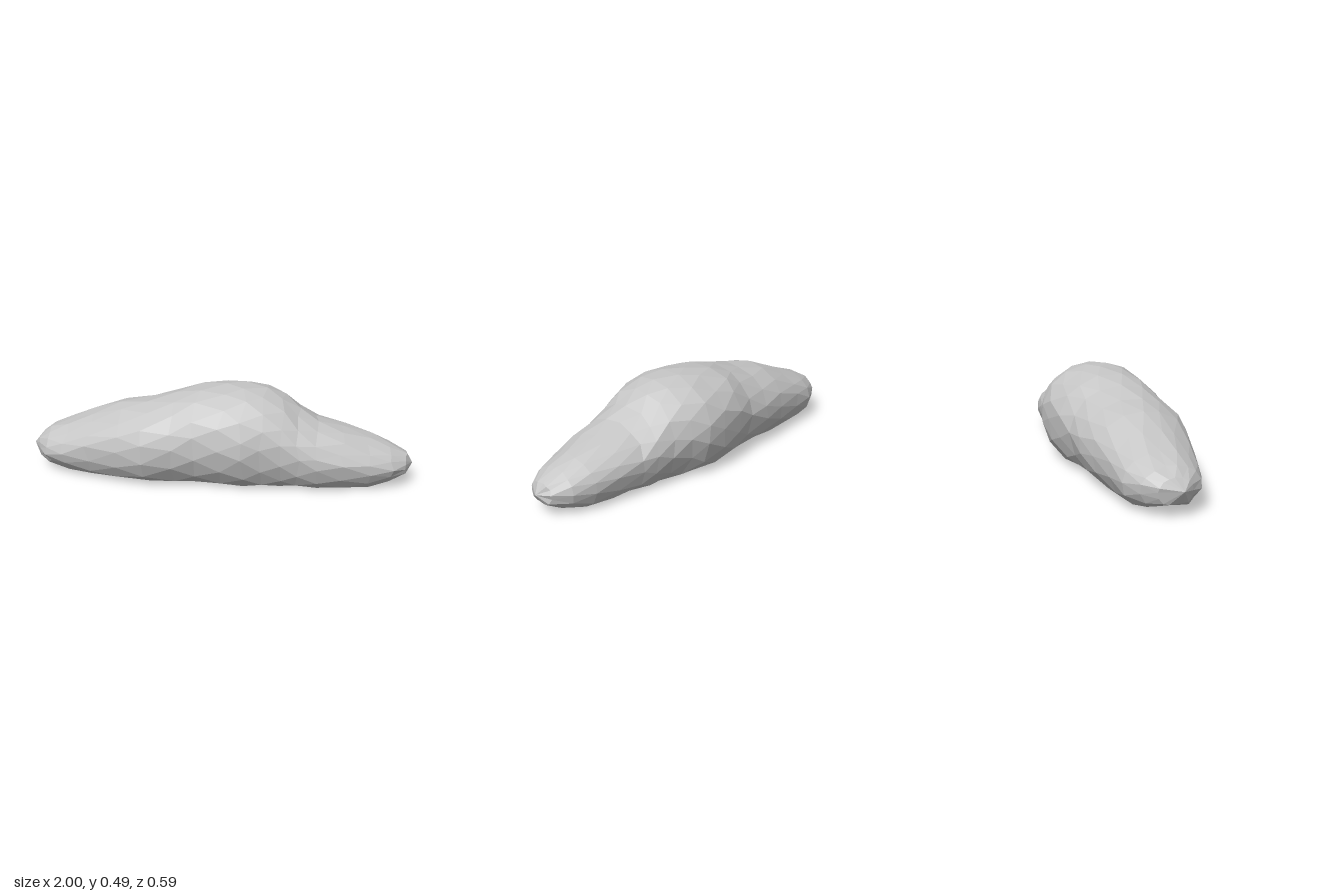
import * as THREE from 'three';

const SIDES = 16;

// Cross-sections along the boulder: x, underside y, top y, back z, front z
const SECTIONS = [
  [-0.96, 0.065, 0.185, -0.08, 0.09],
  [-0.90, 0.04, 0.225, -0.14, 0.15],
  [-0.80, 0.01, 0.265, -0.19, 0.19],
  [-0.67, 0.003, 0.318, -0.21, 0.225],
  [-0.51, 0.002, 0.378, -0.232, 0.27],
  [-0.36, 0, 0.405, -0.25, 0.298],
  [-0.22, 0, 0.445, -0.257, 0.284],
  [-0.10, 0, 0.48, -0.285, 0.28],
  [0.03, 0, 0.493, -0.30, 0.293],
  [0.14, 0, 0.496, -0.302, 0.298],
  [0.24, 0, 0.482, -0.272, 0.28],
  [0.33, 0, 0.445, -0.245, 0.258],
  [0.42, 0, 0.386, -0.225, 0.248],
  [0.51, 0, 0.336, -0.208, 0.24],
  [0.64, 0.002, 0.298, -0.187, 0.215],
  [0.78, 0.008, 0.252, -0.163, 0.18],
  [0.89, 0.03, 0.215, -0.125, 0.14],
  [0.965, 0.065, 0.17, -0.065, 0.085],
];

// Small seeded generator for the chipped, uneven facets
function seeded(seed) {
  return () => {
    seed = (seed * 16807) % 2147483647;
    return seed / 2147483647 - 0.5;
  };
}

function boulderGeometry() {
  const rand = seeded(71);
  const positions = [];
  const indices = [];

  // Rounded rings with a flattened underside, staggered on every other section
  SECTIONS.forEach(([x, bottom, top, back, front], i) => {
    const mid = bottom + (top - bottom) * 0.49;
    const centre = (back + front) / 2;
    const radius = (front - back) / 2;
    const nearEnd = i === 0 || i === SECTIONS.length - 1;
    for (let j = 0; j < SIDES; j++) {
      const a = ((j + (i % 2) * 0.5 + rand() * 0.25) / SIDES) * Math.PI * 2;
      const s = Math.sin(a);
      const depth = s > 0 ? top - mid : (mid - bottom) * 1.28;
      const swell = 1 + rand() * 0.03;
      positions.push(
        x + rand() * (nearEnd ? 0.015 : 0.03),
        Math.max(bottom, mid + depth * s * (s > 0.8 ? 1 : swell)),
        centre + radius * Math.cos(a) * swell
      );
    }
  });

  // Triangles between neighbouring rings
  const at = (i, j) => i * SIDES + (j % SIDES);
  for (let i = 0; i < SECTIONS.length - 1; i++) {
    for (let j = 0; j < SIDES; j++) {
      const a = at(i, j), b = at(i + 1, j), c = at(i, j + 1), d = at(i + 1, j + 1);
      if (i % 2) indices.push(a, b, d, a, d, c);
      else indices.push(a, b, c, c, b, d);
    }
  }

  // Blunt end caps
  const rightTip = positions.length / 3;
  positions.push(-1, 0.13, 0.03, 1, 0.115, 0.01);
  const last = SECTIONS.length - 1;
  for (let j = 0; j < SIDES; j++) {
    indices.push(rightTip, at(0, j), at(0, j + 1));
    indices.push(rightTip + 1, at(last, j + 1), at(last, j));
  }

  const indexed = new THREE.BufferGeometry();
  indexed.setAttribute('position', new THREE.Float32BufferAttribute(positions, 3));
  indexed.setIndex(indices);
  // Separate the facets so each one is shaded flat
  const geometry = indexed.toNonIndexed();
  geometry.computeVertexNormals();
  return geometry;
}

export function createModel() {
  const stone = new THREE.MeshStandardMaterial({ color: 0xc5c5c5 });
  stone.name = 'light grey stone';

  const group = new THREE.Group();
  group.name = 'rock';
  const boulder = new THREE.Mesh(boulderGeometry(), stone);
  boulder.name = 'boulder';
  group.add(boulder);
  return group;
}
